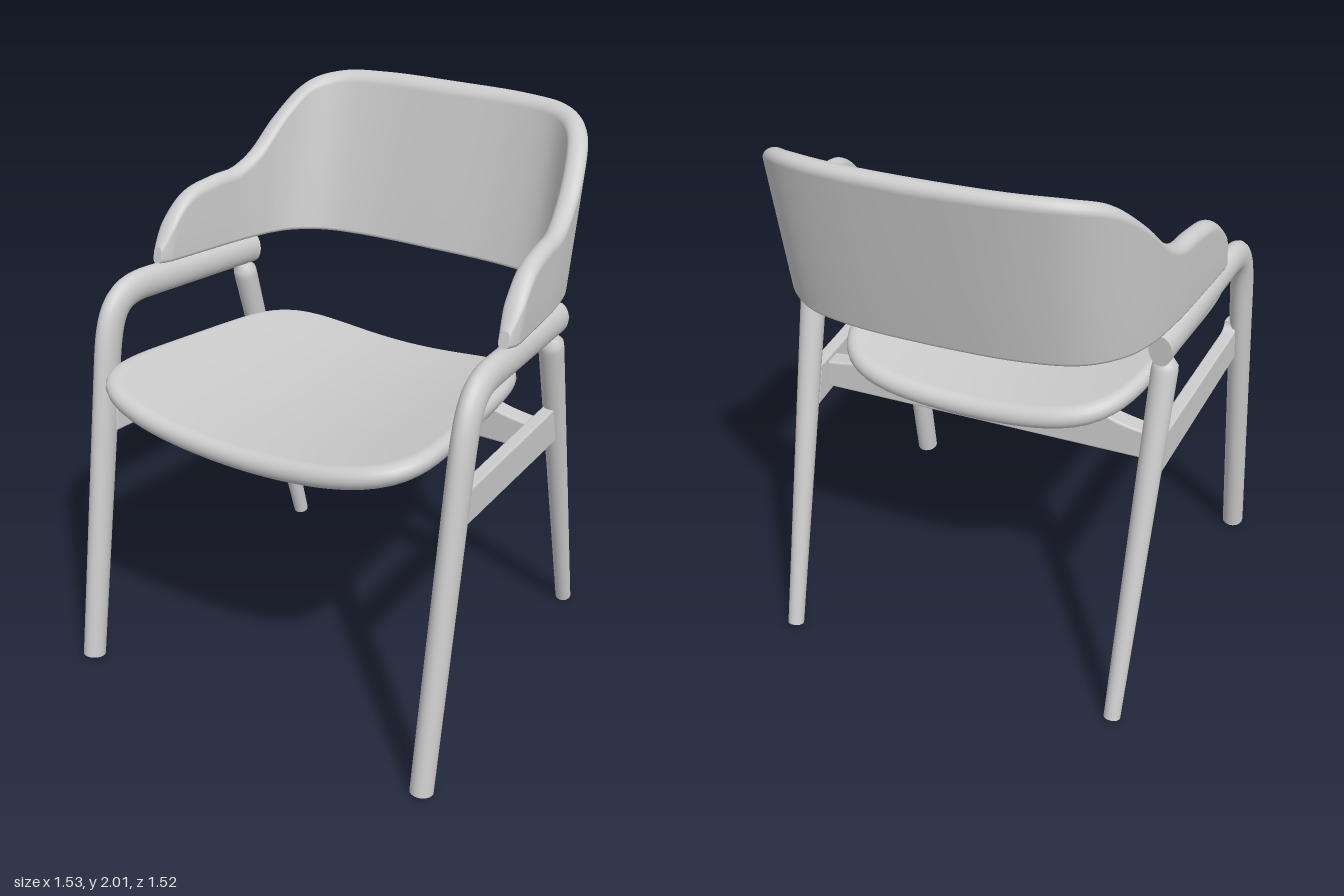
import * as THREE from 'three';
import { mergeVertices } from 'three/addons/utils/BufferGeometryUtils.js';

const V = (x, y, z) => new THREE.Vector3(x, y, z);
const wood = new THREE.MeshStandardMaterial({ color: 0xcccccc });
wood.name = 'pale grey';

function part(name, geometry) {
  const mesh = new THREE.Mesh(geometry, wood);
  mesh.name = name;
  return mesh;
}

// Skin a list of rings (each counter-clockwise about the travel direction) and cap both ends
function loft(rings) {
  const n = rings[0].length, pos = [], index = [];
  rings.forEach(r => r.forEach(p => pos.push(p.x, p.y, p.z)));
  for (let i = 0; i < rings.length - 1; i++) {
    for (let j = 0; j < n; j++) {
      const a = i * n + j, b = i * n + (j + 1) % n;
      index.push(a, b, a + n, b, b + n, a + n);
    }
  }
  [rings[0], rings[rings.length - 1]].forEach((ring, end) => {
    const c = ring.reduce((s, p) => s.add(p), V(0, 0, 0)).divideScalar(n);
    const base = pos.length / 3;
    pos.push(c.x, c.y, c.z);
    ring.forEach(p => pos.push(p.x, p.y, p.z));
    for (let j = 0; j < n; j++) {
      const a = base + 1 + j, b = base + 1 + (j + 1) % n;
      if (end) index.push(base, a, b); else index.push(base, b, a);
    }
  });
  const g = new THREE.BufferGeometry();
  g.setAttribute('position', new THREE.Float32BufferAttribute(pos, 3));
  g.setIndex(index);
  g.computeVertexNormals();
  return g;
}

// Elliptical rod along a curve; rx and ry are functions of the position 0..1
function sweep(curve, steps, rx, ry) {
  const rings = [];
  for (let i = 0; i <= steps; i++) {
    const u = i / steps, p = curve.getPoint(u), t = curve.getTangent(u);
    const s = V(1, 0, 0).addScaledVector(t, -t.x).normalize();
    const up = t.clone().cross(s);
    const ring = [];
    for (let j = 0; j < 24; j++) {
      const a = j / 24 * Math.PI * 2;
      ring.push(p.clone().addScaledVector(s, Math.cos(a) * rx(u)).addScaledVector(up, Math.sin(a) * ry(u)));
    }
    rings.push(ring);
  }
  return loft(rings);
}

const seatBase = z => 1.02 + 0.06 * (z + 0.4) / 1.16;
const sag = x => 0.085 * (x / 0.6) ** 2;

// Dished seat: a disc lathed, then pushed out to a tapered rounded outline
function seatGeometry() {
  const profile = [0, 0.2, 0.4, 0.6, 0.8].map(r => new THREE.Vector2(r, -0.042));
  for (let i = 0; i <= 12; i++) {
    const a = (i / 12 - 0.5) * Math.PI;
    profile.push(new THREE.Vector2(0.93 + 0.07 * Math.cos(a), 0.042 * Math.sin(a)));
  }
  [0.8, 0.6, 0.4, 0.2, 0].forEach(r => profile.push(new THREE.Vector2(r, 0.042)));
  let g = new THREE.LatheGeometry(profile, 96);
  const p = g.attributes.position, n = 5;
  for (let i = 0; i < p.count; i++) {
    const x = p.getX(i), z = p.getZ(i), r = Math.hypot(x, z);
    const k = r > 0 ? (Math.abs(x / r) ** n + Math.abs(z / r) ** n) ** (-1 / n) : 1;
    const zz = 0.178 + 0.585 * z * k, xx = x * k * (0.59 + 0.115 * zz);
    p.setXYZ(i, xx, p.getY(i) + seatBase(zz) + sag(xx), zz);
  }
  g.deleteAttribute('uv');
  g.deleteAttribute('normal');
  g = mergeVertices(g, 1e-5);
  g.computeVertexNormals();
  return g;
}

// Wraparound backrest: x and z run along the bottom edge, y is the height of the top edge
function backrestGeometry() {
  const half = [
    [0.703, 1.5, 0.232], [0.7, 1.6, 0.178], [0.691, 1.67, 0.1], [0.675, 1.692, -0.035],
    [0.66, 1.697, -0.155], [0.643, 1.745, -0.25], [0.617, 1.86, -0.355], [0.565, 1.957, -0.455],
    [0.47, 1.992, -0.533], [0.3, 2, -0.575]];
  const pts = half.map(p => V(...p));
  const curve = new THREE.CatmullRomCurve3(
    [...pts, V(0, 2, -0.587), ...pts.slice().reverse().map(p => V(-p.x, p.y, p.z))]);
  const steps = 120, rings = [];
  for (let i = 0; i <= steps; i++) {
    const u = i / steps, p = curve.getPoint(u), t = curve.getTangent(u).setY(0).normalize();
    const side = V(0, 1, 0).cross(t);
    const tip = Math.min(u, 1 - u);
    const w = (0.042 - 0.006 * Math.min(1, Math.abs(p.x) / 0.65)) * Math.sqrt(Math.min(1, 0.25 + tip * 16));
    const y0 = 1.44 + (p.z - 0.22) * 0.067;
    const h = Math.max(p.y - y0, w + 0.03);
    const section = [[w - 0.015, 0], [w - 0.004, 0.004], [w, 0.015], [w, h * 0.4]];
    for (let j = 0; j <= 10; j++) {
      const a = j / 10 * Math.PI;
      section.push([w * Math.cos(a), h - w + w * Math.sin(a)]);
    }
    section.push([-w, h * 0.4], [-w, 0.015], [-w + 0.004, 0.004], [-w + 0.015, 0]);
    rings.push(section.map(([s, y]) => V(p.x, y0 + y, p.z - 0.22 * y).addScaledVector(side, s)));
  }
  return loft(rings);
}

// Front leg bending into the armrest, back leg and side rail
function sideFrame() {
  const side = new THREE.Group();
  const a = V(0.718, 1.15, 0.522), b = V(0.705, 1.392, 0.3);
  const path = new THREE.CurvePath();
  path.add(new THREE.LineCurve3(V(0.722, 0, 0.725), a));
  path.add(new THREE.CubicBezierCurve3(a, V(0.718, 1.33, 0.49), V(0.715, 1.404, 0.46), b));
  path.add(new THREE.LineCurve3(b, V(0.657, 1.345, -0.3)));
  side.add(part('frontLegAndArm', sweep(path, 80, () => 0.041, u => 0.043 + 0.014 * Math.min(1, u * 1.7))));

  const rear = new THREE.LineCurve3(V(0.645, 0, -0.585), V(0.662, 1.295, -0.24));
  const r = u => (0.03 + 0.016 * u) * Math.sqrt(Math.max(0.3, Math.min(1, (1.006 - u) * 40)));
  side.add(part('backLeg', sweep(rear, 60, r, r)));

  const s = new THREE.Shape();
  s.moveTo(0.55, 0.905);
  s.lineTo(-0.33, 0.845);
  s.lineTo(-0.29, 0.99);
  s.lineTo(0.46, 1.025);
  s.quadraticCurveTo(0.5, 1.03, 0.5, 1.06);
  s.lineTo(0.54, 1.06);
  const g = new THREE.ExtrudeGeometry(s, {
    depth: 0.036, bevelSize: 0.006, bevelThickness: 0.006, bevelOffset: -0.006, bevelSegments: 2 });
  g.rotateY(-Math.PI / 2);
  g.applyMatrix4(new THREE.Matrix4().makeShear(0, 0, 0, 0, 0.05, 0));
  g.translate(0.683, 0, 0);
  side.add(part('sideRail', g));
  return side;
}

// Cross rail whose top edge cradles the seat
function crossRailGeometry() {
  const s = new THREE.Shape();
  s.moveTo(-0.65, 0.87);
  s.lineTo(0.65, 0.87);
  s.lineTo(0.65, 0.975);
  s.quadraticCurveTo(0.5, 0.985, 0.42, 1.03);
  for (let i = 0; i <= 20; i++) {
    const x = 0.4 - i * 0.04;
    s.lineTo(x, 0.995 + sag(x));
  }
  s.lineTo(-0.42, 1.03);
  s.quadraticCurveTo(-0.5, 0.985, -0.65, 0.975);
  const g = new THREE.ExtrudeGeometry(s, {
    depth: 0.055, bevelSize: 0.008, bevelThickness: 0.01, bevelOffset: -0.008, bevelSegments: 3 });
  return g.translate(0, 0, -0.225);
}

export function createModel() {
  const chair = new THREE.Group();
  chair.name = 'armchair';
  chair.add(part('seat', seatGeometry()), part('backrest', backrestGeometry()));

  const left = sideFrame();
  left.name = 'leftFrame';
  const right = left.clone();
  right.name = 'rightFrame';
  right.scale.x = -1;
  chair.add(left, right);

  chair.add(part('crossRail', crossRailGeometry()));
  const bar = part('seatSupportBar', new THREE.BoxGeometry(0.1, 0.06, 0.72));
  bar.position.set(0, 0.978, 0.16);
  bar.rotation.x = -0.052;
  chair.add(bar);
  return chair;
}
